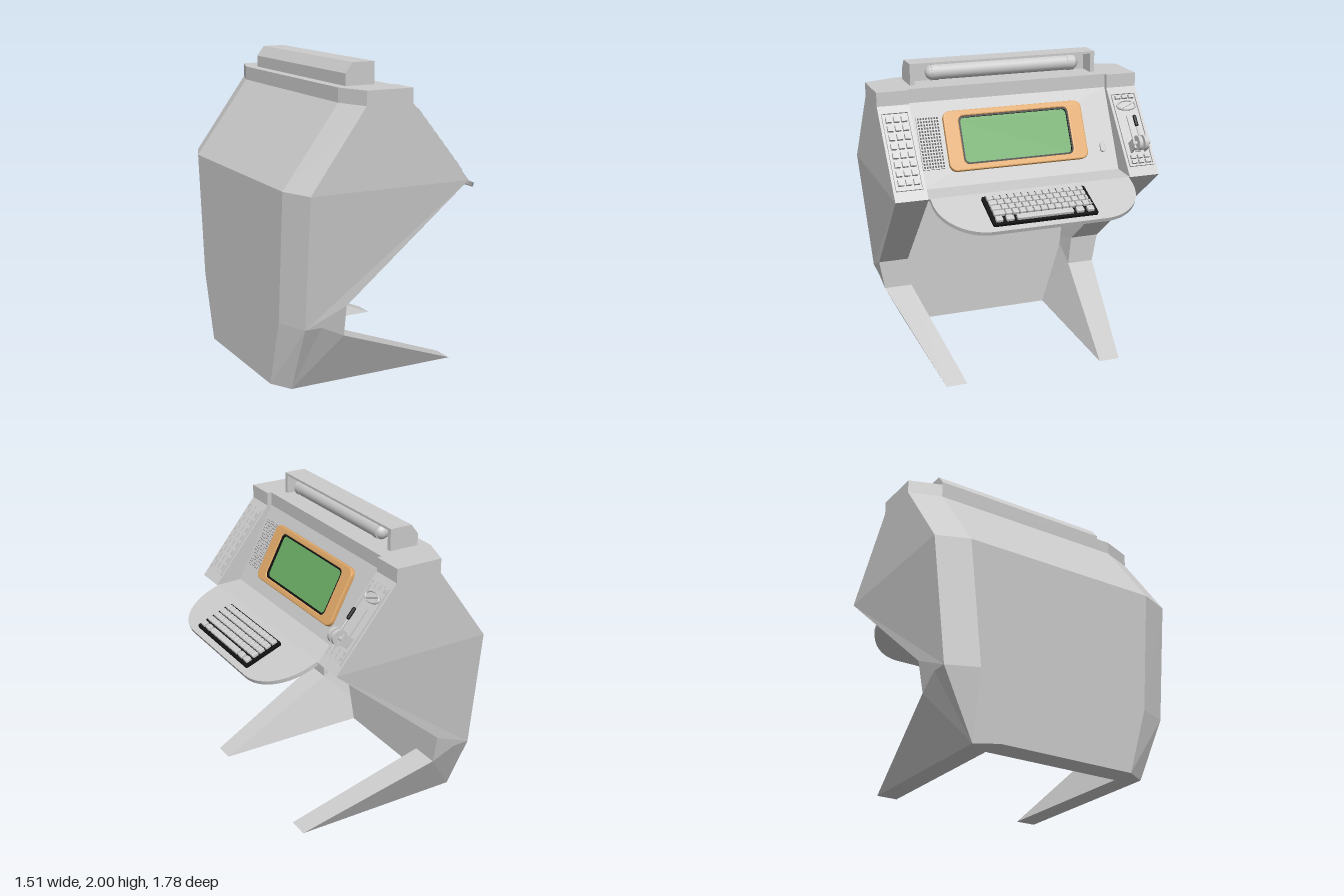
import * as THREE from 'three';

const paint = (color) => new THREE.MeshStandardMaterial({ color });
const grey = paint(0xcccccc), black = paint(0x111111), orange = paint(0xe0a868), green = paint(0x6aaa64);

function add(parent, name, geometry, material, x = 0, y = 0, z = 0) {
  const mesh = new THREE.Mesh(geometry, material);
  mesh.name = name;
  mesh.position.set(x, y, z);
  parent.add(mesh);
  return mesh;
}

const box = (parent, name, w, h, d, x, y, z, material = grey) =>
  add(parent, name, new THREE.BoxGeometry(w, h, d), material, x, y, z);

// Flat-faced solid between two matching outlines; caps lists the polygons closing each end
function loft(front, back, caps) {
  const out = [];
  const n = caps.outline.length;
  for (let k = 0; k < n; k++) {
    const i = caps.outline[k], j = caps.outline[(k + 1) % n];
    out.push(front[i], back[i], back[j], front[i], back[j], front[j]);
  }
  for (const poly of caps.polygons) {
    const flat = poly.map((i) => new THREE.Vector2(front[i][0], front[i][1]));
    for (const [a, b, c] of THREE.ShapeUtils.triangulateShape(flat, [])) {
      out.push(front[poly[a]], front[poly[b]], front[poly[c]]);
      out.push(back[poly[a]], back[poly[c]], back[poly[b]]);
    }
  }
  const g = new THREE.BufferGeometry();
  g.setAttribute('position', new THREE.Float32BufferAttribute(out.flat(), 3));
  g.computeVertexNormals();
  return g;
}

// Group lying on a slope: local x runs across, y up the slope, z outwards
function slope(parent, name, low, high, z = 0) {
  const g = new THREE.Group();
  const up = new THREE.Vector3(high[0] - low[0], high[1] - low[1], 0).normalize();
  const across = new THREE.Vector3(0, 0, -1);
  g.quaternion.setFromRotationMatrix(
    new THREE.Matrix4().makeBasis(across, up, across.clone().cross(up)));
  g.position.set(low[0], low[1], z);
  g.name = name;
  parent.add(g);
  return g;
}

function roundRect(w, h, r, Type = THREE.Shape) {
  const s = new Type(), x = w / 2 - r, y = h / 2 - r;
  s.absarc(x, y, r, 0, Math.PI / 2);
  s.absarc(-x, y, r, Math.PI / 2, Math.PI);
  s.absarc(-x, -y, r, Math.PI, Math.PI * 1.5);
  s.absarc(x, -y, r, Math.PI * 1.5, Math.PI * 2);
  s.closePath();
  return s;
}

const extrude = (shape, depth, bevel = 0) => new THREE.ExtrudeGeometry(shape, {
  depth, bevelEnabled: bevel > 0, bevelSize: bevel, bevelThickness: bevel, bevelOffset: -bevel,
  bevelSegments: 2, curveSegments: 10 });

function buildCabinet(root) {
  // Side walls: x, y, outer z, inner z, inner x (back corners are chamfered)
  const side = [
    [-0.68, 0, 0.61, 0.47, -0.76], [0.48, 0, 0.61, 0.47, 0.48], [-0.41, 0.36, 0.79, 0.6, -0.41],
    [-0.41, 0.56, 0.825, 0.62, -0.41], [0.41, 1.265, 0.89, 0.68, 0.41], [0, 1.77, 0.89, 0.68, 0],
    [0, 1.86, 0.89, 0.68, 0], [-0.315, 1.86, 0.89, 0.68, -0.39], [-0.315, 1.77, 0.89, 0.68, -0.39],
    [-0.68, 1.27, 0.89, 0.68, -0.76], [-0.68, 0.44, 0.805, 0.605, -0.76],
    [-0.57, 0.44, 0.805, 0.605, -0.57]];
  const caps = {
    outline: [0, 1, 2, 3, 4, 5, 6, 7, 8, 9, 10],
    polygons: [[0, 1, 2, 11, 10], [2, 3, 11], [10, 11, 3, 4, 9], [9, 4, 5, 8], [8, 5, 6, 7]] };
  const outer = (s) => side.map((p) => [p[0], p[1], s * p[2]]);
  const inner = (s) => side.map((p) => [p[4], p[1], s * p[3]]);
  add(root, 'leftSideWall', loft(outer(1), inner(1), caps), grey);
  add(root, 'rightSideWall', loft(inner(-1), outer(-1), caps), grey);

  // Back wall, console underside, recessed panel and top: x, y, half width
  const core = [
    [-0.76, 0, 0.47], [-0.6, 0, 0.47], [-0.6, 0.44, 0.605], [-0.6, 1.25, 0.68], [0.4, 1.25, 0.68],
    [0.41, 1.265, 0.68], [0.23, 1.27, 0.68], [-0.03, 1.77, 0.68], [-0.03, 1.86, 0.68],
    [-0.39, 1.86, 0.68], [-0.39, 1.77, 0.68], [-0.76, 1.27, 0.68], [-0.76, 0.44, 0.605]];
  const all = core.map((_, i) => i);
  const at = (s) => core.map((p) => [p[0], p[1], s * p[2]]);
  add(root, 'centreBody', loft(at(1), at(-1), { outline: all, polygons: [all] }), grey);
}

function buildLamp(root) {
  const lamp = new THREE.Group();
  lamp.name = 'topLamp';
  root.add(lamp);
  const prism = (name, pts, depth, z) => add(lamp, name,
    extrude(new THREE.Shape(pts.map((p) => new THREE.Vector2(...p))), depth), grey, 0, 0, z);
  const back = [[-0.32, 1.86], [-0.32, 1.935], [-0.27, 2], [-0.12, 2]];
  prism('lampHousing', [[-0.24, 1.86], [-0.24, 1.985], [-0.12, 1.985], ...back.slice().reverse()], 1.22, -0.61);
  for (const z of [-0.64, 0.61]) prism('lampEnd', [[-0.12, 1.86], ...back.slice().reverse()], 0.03, z);
  add(lamp, 'lampTube', new THREE.CapsuleGeometry(0.05, 0.96, 8, 20), grey, -0.16, 1.93, 0).rotation.x = Math.PI / 2;
  for (const z of [-0.47, 0.47]) {
    add(lamp, 'tubeCollar', new THREE.CylinderGeometry(0.053, 0.053, 0.05, 20), grey, -0.16, 1.93, z).rotation.x = Math.PI / 2;
  }
}

function buildScreenPanel(root) {
  const p = slope(root, 'screenPanel', [0.23, 1.27], [-0.03, 1.77]);
  const bezel = roundRect(0.95, 0.395, 0.05);
  bezel.holes.push(roundRect(0.75, 0.315, 0.035, THREE.Path));
  add(p, 'screenBezel', extrude(bezel, 0.02, 0.008), orange, 0, 0.288, 0.002);
  const rim = roundRect(0.77, 0.335, 0.04);
  rim.holes.push(roundRect(0.73, 0.295, 0.03, THREE.Path));
  add(p, 'screenRim', extrude(rim, 0.022), black, 0, 0.288, 0.002);
  add(p, 'screen', extrude(roundRect(0.735, 0.3, 0.03), 0.012), green, 0, 0.288, 0);

  // Speaker grille
  const gx = -0.573, gy = 0.293;
  box(p, 'grilleBack', 0.15, 0.345, 0.006, gx, gy, 0.003, black);
  for (let i = 0; i <= 8; i++) box(p, 'grilleBar', 0.007, 0.345, 0.01, gx - 0.072 + i * 0.018, gy, 0.007);
  for (let i = 0; i <= 16; i++) box(p, 'grilleBar', 0.15, 0.008, 0.01, gx, gy - 0.168 + i * 0.021, 0.007);

  add(p, 'pillButton', extrude(roundRect(0.034, 0.066, 0.016), 0.012, 0.004), grey, 0.59, 0.158, 0);
}

// Raised frame shared by both side panels
function controlFrame(root, name, z) {
  const p = slope(root, name, [0.41, 1.265], [0, 1.77], z);
  const frame = roundRect(0.175, 0.53, 0.004);
  frame.holes.push(roundRect(0.16, 0.515, 0.004, THREE.Path));
  add(p, 'panelFrame', extrude(frame, 0.012), grey, 0, 0.335, 0);
  return p;
}

function buildKeypad(root) {
  const p = controlFrame(root, 'keypad', 0.785);
  for (let r = 0; r < 8; r++) {
    for (let c = -1; c <= 1; c++) box(p, 'keypadKey', 0.036, 0.038, 0.022, c * 0.05, 0.122 + r * 0.061, 0.011);
  }
}

function buildLever(root) {
  const p = controlFrame(root, 'leverPanel', -0.785);
  for (const y of [0.1, 0.135, 0.57]) {
    for (let c = -1; c <= 1; c++) box(p, 'smallKey', 0.036, 0.024, 0.02, c * 0.048, y, 0.01);
  }
  // Oval dial with a slanted needle
  const ring = add(p, 'dialRing', new THREE.TorusGeometry(0.066, 0.009, 8, 32), grey, 0, 0.505, 0.012);
  ring.scale.y = 0.5;
  const disc = add(p, 'dialFace', new THREE.CylinderGeometry(0.066, 0.066, 0.01, 32), grey, 0, 0.505, 0.005);
  disc.rotation.x = Math.PI / 2;
  disc.scale.z = 0.5;
  box(p, 'dialNeedle', 0.1, 0.012, 0.012, 0, 0.505, 0.014).rotation.z = 0.4;
  // Wheel with its bracket
  for (const s of [-1, 1]) {
    box(p, 'wheelBracket', 0.012, 0.07, 0.08, s * 0.048, 0.203, 0.04);
    add(p, 'wheelDisc', new THREE.CylinderGeometry(0.05, 0.05, 0.025, 28), grey, s * 0.02, 0.203, 0.075).rotation.z = Math.PI / 2;
  }
  add(p, 'wheelAxle', new THREE.CylinderGeometry(0.014, 0.014, 0.12, 14), grey, 0, 0.203, 0.075).rotation.z = Math.PI / 2;
  box(p, 'leverSlot', 0.035, 0.26, 0.01, 0, 0.3, 0.005);
  // Lever arm and grip
  add(p, 'leverArm', new THREE.CylinderGeometry(0.007, 0.007, 0.13, 10), grey, 0, 0.265, 0.078);
  add(p, 'leverGrip', new THREE.CapsuleGeometry(0.012, 0.06, 4, 12), black, 0, 0.36, 0.08);
}

function buildShelf(root) {
  const p = slope(root, 'keyboardShelf', [0.748, 1.133], [0.41, 1.268]);
  const s = new THREE.Shape();
  s.moveTo(0.67, 0.364);
  s.lineTo(-0.67, 0.364);
  s.lineTo(-0.67, 0.31);
  s.absellipse(-0.37, 0.31, 0.3, 0.31, Math.PI, Math.PI * 1.5);
  s.absellipse(0.37, 0.31, 0.3, 0.31, Math.PI * 1.5, Math.PI * 2);
  add(p, 'shelfBoard', extrude(s, 0.026), grey, 0, 0, -0.026);

  const kx = -0.017;
  add(p, 'keyboardBase', extrude(roundRect(0.69, 0.27, 0.015), 0.016), black, kx, 0.176, 0);
  const key = (x, y, w) => add(p, 'key', extrude(roundRect(w, 0.041, 0.007), 0.016, 0.005), grey, kx + x, y, 0.014);
  // Four staggered rows, each closed by a wider key
  for (let r = 0; r < 4; r++) {
    const wide = 0.04 + r * 0.011, y = 0.28 - r * 0.048;
    key(-0.32 + wide / 2, y, wide);
    for (let i = 0; i < 12; i++) key(-0.29 + wide + i * 0.0465 - 0.005, y, 0.04);
    const start = -0.29 + wide + 11 * 0.0465 + 0.022;
    key((start + 0.32) / 2, y, 0.32 - start);
  }
  // Space bar row
  for (const [x, w] of [[-0.3, 0.045], [-0.23, 0.05], [0, 0.37], [0.23, 0.05], [0.3, 0.045]]) key(x, 0.082, w);
}

export function createModel() {
  const root = new THREE.Group();
  root.name = 'consoleDesk';
  for (const build of [buildCabinet, buildLamp, buildScreenPanel, buildKeypad, buildLever, buildShelf]) build(root);
  return root;
}
